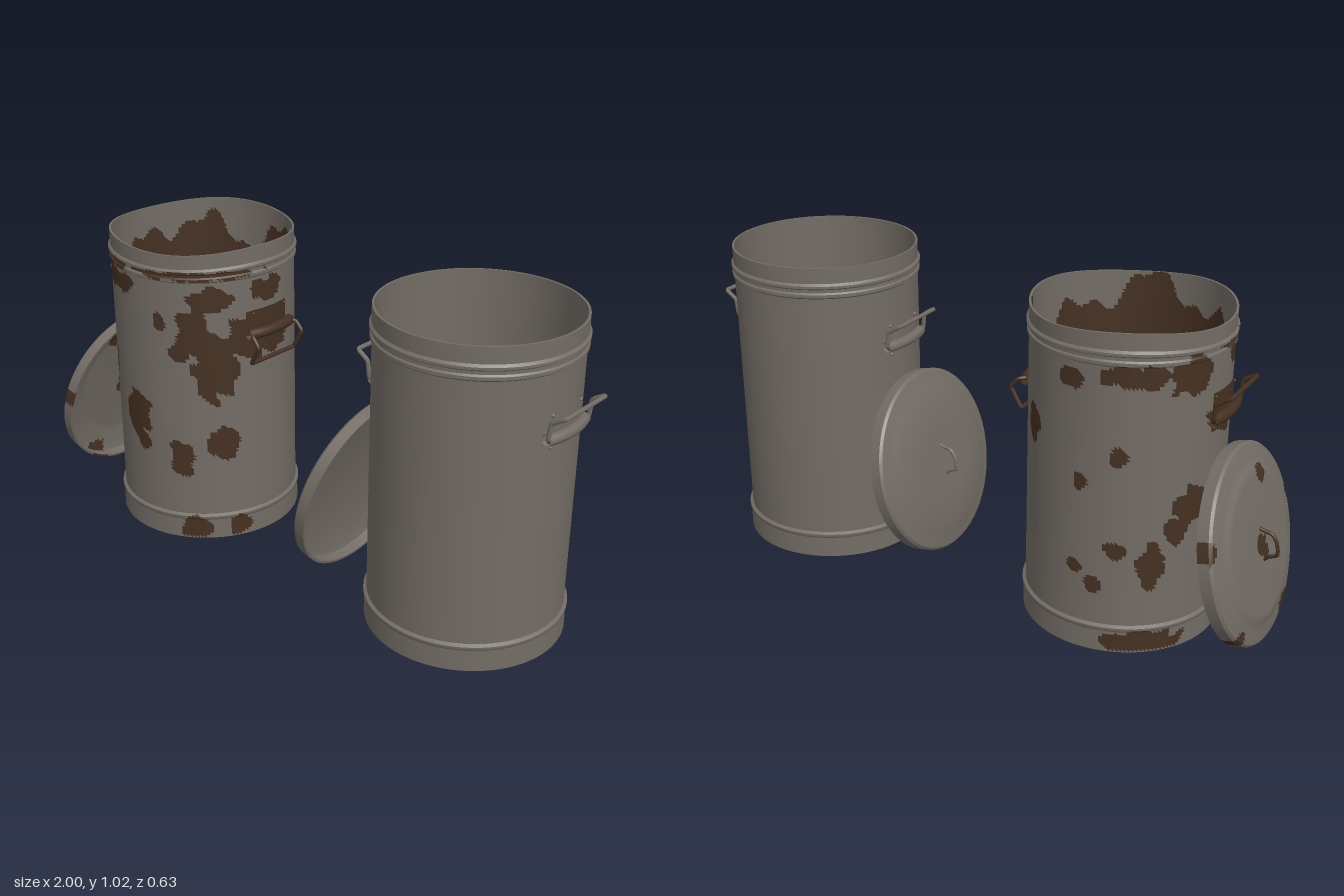
import * as THREE from 'three';
import { toCreasedNormals } from 'three/addons/utils/BufferGeometryUtils.js';

const steel = new THREE.MeshStandardMaterial({ color: 0x736c65, side: THREE.DoubleSide });
steel.name = 'dull steel';
const rust = new THREE.MeshStandardMaterial({ color: 0x453022, side: THREE.DoubleSide });
rust.name = 'dark rust';

const BODY = [[0, 0], [0.31, 0], [0.309, 0.07], [0.313, 0.076], [0.313, 0.084], [0.303, 0.09],
  [0.303, 0.92], [0.309, 0.925], [0.309, 0.935], [0.304, 0.94], [0.304, 0.95], [0.311, 0.955],
  [0.311, 0.963], [0.304, 0.97], [0.304, 1.02], [0.297, 1.02], [0.295, 0.02], [0, 0.02]];
const LID = [[0, 0.062], [0.21, 0.057], [0.275, 0.042], [0.298, 0.034], [0.299, 0], [0.307, 0],
  [0.307, 0.036], [0.3, 0.044], [0.28, 0.049], [0.25, 0.055], [0.222, 0.066], [0.12, 0.07], [0, 0.07]];

// Rust on the wall: [angle from front in degrees, height, half angle, half height]
const WALL_RUST = [
  [-62, 0.89, 26, 0.04], [-25, 0.88, 24, 0.035], [-50, 0.94, 50, 0.018], [40, 0.94, 40, 0.015],
  [50, 0.86, 13, 0.04], [17, 0.78, 4, 0.035], [38, 0.75, 10, 0.09], [52, 0.62, 14, 0.11],
  [30, 0.68, 8, 0.03], [75, 0.72, 17, 0.08], [92, 0.72, 14, 0.08], [88, 0.87, 14, 0.04],
  [-4, 0.43, 12, 0.075], [0, 0.34, 6, 0.04], [29, 0.3, 8, 0.07], [55, 0.35, 10, 0.06],
  [-34, 0.57, 3, 0.05], [-60, 0.34, 9, 0.035], [-45, 0.33, 6, 0.025], [-90, 0.73, 16, 0.07],
  [-64, 0.03, 18, 0.05], [37, 0.035, 9, 0.05], [65, 0.04, 7, 0.04], [-142, 0.03, 24, 0.045],
  [-152, 0.89, 20, 0.035], [-120, 0.88, 14, 0.06], [-160, 0.64, 5, 0.03], [-116, 0.47, 12, 0.06],
  [-125, 0.4, 7, 0.05], [-160, 0.34, 6, 0.03], [-139, 0.29, 8, 0.07], [140, 0.67, 7, 0.06],
  [179, 0.55, 4, 0.025], [177, 0.27, 5, 0.02], [172, 0.87, 8, 0.03], [-172, 0.22, 5, 0.03]];
// Rust on the lid: [up the lid, across the lid, radius]
const LID_RUST = [[0, 0, 0.035], [-0.03, 0.02, 0.025], [0.2, 0.075, 0.03], [-0.27, 0.14, 0.045],
  [-0.22, -0.2, 0.025], [0.1, -0.29, 0.03], [0.05, 0.3, 0.025]];

const wobble = (u, v) => Math.sin(u * 3 + Math.sin(v * 2) * 2) * 0.5 + Math.sin(v * 3.3 + u * 1.7) * 0.5;

function wallRusted(p) {
  const a = Math.atan2(p.x, p.z) * 180 / Math.PI, r = Math.hypot(p.x, p.z);
  if (p.y < 0.005) return false;
  // Inside: rust from the floor up to a ragged line below the rim
  if (r < 0.299) {
    const t = a * Math.PI / 180;
    return p.y < 0.93 + 0.05 * Math.sin(3 * t + 1) + 0.04 * Math.sin(7 * t) + 0.02 * Math.sin(17 * t)
      - 0.08 * Math.exp(-(((a + 95) / 25) ** 2));
  }
  const n = wobble(a / 7, p.y * 24) * 0.45;
  return WALL_RUST.some(([ba, by, ra, ry]) => {
    const da = ((a - ba + 540) % 360) - 180;
    return (da / ra) ** 2 + ((p.y - by) / ry) ** 2 < 1 + n;
  });
}

function lidRusted(p) {
  if (p.y < 0.03 && Math.hypot(p.x, p.z) < 0.3) return false;
  const n = wobble(p.x * 50, p.z * 50) * 0.4;
  return LID_RUST.some(([x, z, r]) => ((p.x - x) ** 2 + (p.z - z) ** 2) / (r * r) < 1 + n);
}

// Cuts long profile stretches into short ones, so patches get fine edges
function subdivide(points, step) {
  const out = [points[0]];
  for (let i = 1; i < points.length; i++) {
    const [r0, y0] = points[i - 1], [r1, y1] = points[i];
    const n = Math.max(1, Math.ceil(Math.hypot(r1 - r0, y1 - y0) / step));
    for (let k = 1; k <= n; k++) out.push([r0 + (r1 - r0) * k / n, y0 + (y1 - y0) * k / n]);
  }
  return out;
}

function turned(name, profile, segments, bend) {
  const g = new THREE.LatheGeometry(profile.map(([r, y]) => new THREE.Vector2(r, y)), segments);
  if (bend) {
    const pos = g.attributes.position;
    for (let i = 0; i < pos.count; i++) pos.setY(i, bend(pos.getX(i), pos.getY(i), pos.getZ(i)));
  }
  g.scale(100, 100, 100);
  const smooth = toCreasedNormals(g, 0.6);
  smooth.scale(0.01, 0.01, 0.01);
  const mesh = new THREE.Mesh(smooth, steel);
  mesh.name = name;
  return mesh;
}

// Sorts the triangles into a steel group and a rust group
function paintRust(mesh, test) {
  const pos = mesh.geometry.attributes.position, lists = [[], []], c = new THREE.Vector3();
  for (let i = 0; i < pos.count; i += 3) {
    c.set(0, 0, 0);
    for (let k = 0; k < 3; k++) {
      c.x += pos.getX(i + k) / 3; c.y += pos.getY(i + k) / 3; c.z += pos.getZ(i + k) / 3;
    }
    lists[test(c) ? 1 : 0].push(i, i + 1, i + 2);
  }
  mesh.geometry.setIndex(lists[0].concat(lists[1]));
  mesh.geometry.addGroup(0, lists[0].length, 0);
  mesh.geometry.addGroup(lists[0].length, lists[1].length, 1);
  mesh.material = [steel, rust];
}

function wire(name, points, radius, material, tension = 0.15) {
  const curve = new THREE.CatmullRomCurve3(points.map(p => new THREE.Vector3(...p)), false, 'catmullrom', tension);
  const mesh = new THREE.Mesh(new THREE.TubeGeometry(curve, 60, radius, 8), material);
  mesh.name = name;
  return mesh;
}

// Side handle on the +x side: curved plate, sleeve, rivets and a swinging wire
function sideHandle(material, hanging) {
  const g = new THREE.Group();
  g.name = 'sideHandle';
  const half = 0.26;
  const plate = new THREE.Mesh(
    new THREE.CylinderGeometry(0.308, 0.308, 0.12, 12, 1, true, Math.PI / 2 - half, half * 2), material);
  plate.position.y = 0.75;
  plate.name = 'handlePlate';
  g.add(plate);
  const arc = [-0.31, -0.15, 0, 0.15, 0.31].map(t => [0.318 * Math.cos(t), 0.732, 0.318 * Math.sin(t)]);
  g.add(wire('handleSleeve', arc, 0.018, material, 0.5));
  for (const t of [-0.23, 0.23]) for (const y of [0.701, 0.798]) {
    const rivet = new THREE.Mesh(new THREE.SphereGeometry(0.006, 8, 6), material);
    rivet.position.set(0.309 * Math.cos(t), y, 0.309 * Math.sin(t));
    rivet.name = 'rivet';
    g.add(rivet);
  }
  const side = hanging
    ? [[0.308, 0.732, 0.085], [0.325, 0.73, 0.1], [0.35, 0.70, 0.102], [0.318, 0.642, 0.1], [0.314, 0.637, 0.09]]
    : [[0.305, 0.725, 0.085], [0.312, 0.74, 0.103], [0.318, 0.79, 0.104], [0.355, 0.814, 0.102], [0.36, 0.816, 0.092]];
  const mirrored = side.map(([x, y, z]) => [x, y, -z]).reverse();
  g.add(wire('handleWire', [...side, ...mirrored], 0.007, material));
  return g;
}

function bin(name, x, rusty) {
  const g = new THREE.Group();
  g.name = name;
  g.position.x = x;

  // Open body with base band, beads and rim; the old one has a warped rim
  const warp = (px, y, pz) => {
    const a = Math.atan2(px, pz);
    return y > 0.9 ? y + (y - 0.9) / 0.12 * 0.007 * (Math.sin(3 * a + 3.4) - 1) : y;
  };
  const body = rusty
    ? turned('body', subdivide(BODY, 0.0115), 160, warp)
    : turned('body', BODY, 72);
  if (rusty) paintRust(body, wallRusted);
  g.add(body);

  const metal = rusty ? rust : steel;
  const right = sideHandle(metal, rusty), left = sideHandle(metal, false);
  left.rotation.y = Math.PI;
  g.add(right, left);

  // Lid leaning against the side, with its wire grip
  const lid = new THREE.Group();
  lid.name = 'lid';
  const cover = rusty ? turned('lidCover', subdivide(LID, 0.012), 128) : turned('lidCover', LID, 72);
  if (rusty) paintRust(cover, lidRusted);
  lid.add(cover, wire('lidGrip', [[-0.052, 0.066, 0], [-0.042, 0.085, 0], [-0.035, 0.112, 0],
    [0, 0.117, 0], [0.03, 0.108, 0], [0.042, 0.085, 0], [0.052, 0.066, 0]], 0.006, metal, 0.4));
  lid.position.set(-0.385, 0.315, 0);
  lid.rotation.z = 1.333;
  g.add(lid);
  return g;
}

export function createModel() {
  const model = new THREE.Group();
  model.name = 'dustbins';
  model.add(bin('rustyBin', -0.49, true), bin('cleanBin', 0.63, false));
  return model;
}
